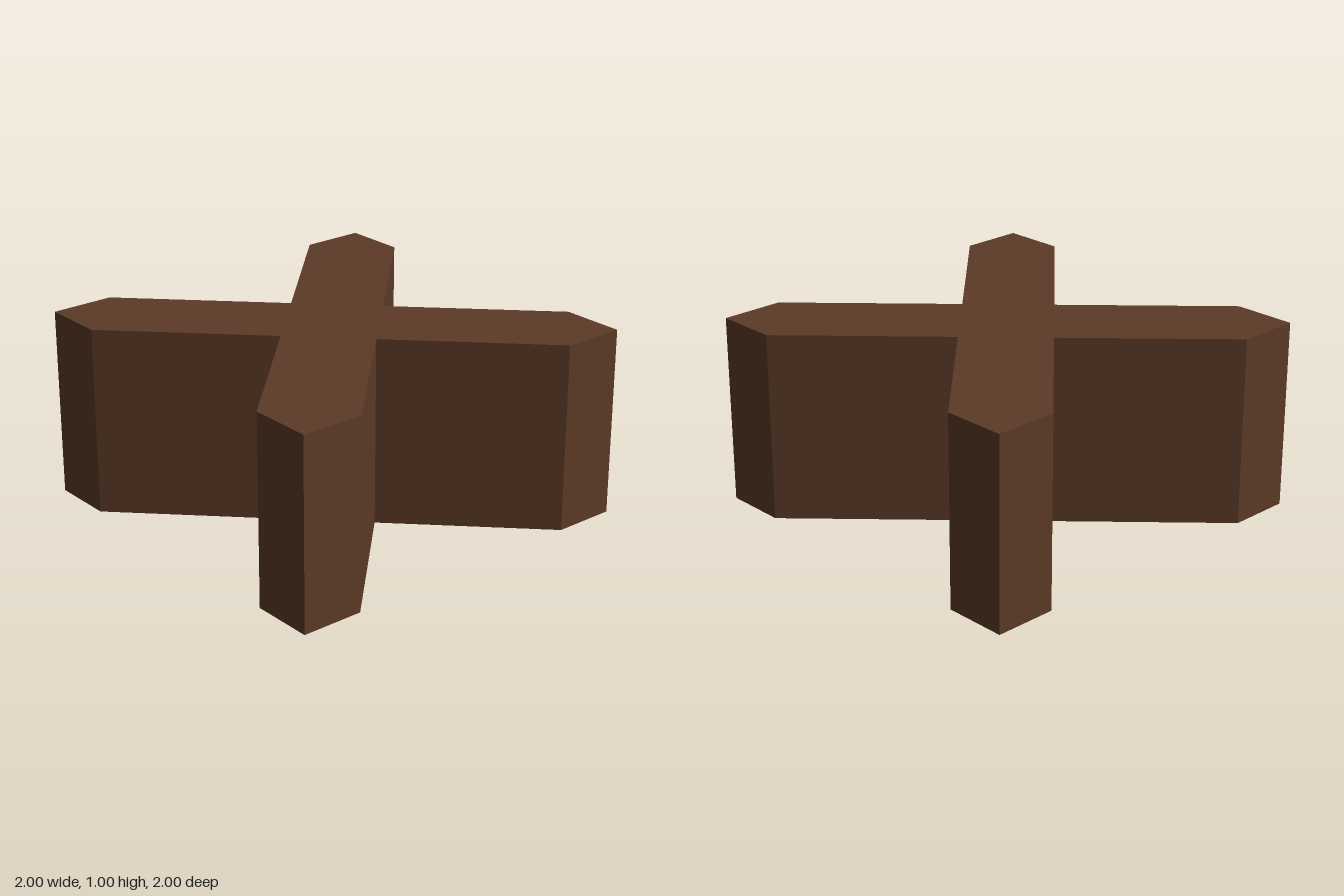
import * as THREE from 'three';

export function createModel() {
  const model = new THREE.Group();
  const darkWood = new THREE.MeshStandardMaterial({ color: 0x5c3a26 });
  darkWood.name = 'darkWood';

  // Diagonal cross outline: each quarter turn adds one arm with a square corner tip
  const t = 0.333, e = 0.667;
  const quarter = [[t, 0], [1, e], [1, 1], [e, 1]];
  const points = [];
  for (let i = 0; i < 4; i++) {
    const c = Math.round(Math.cos(i * Math.PI / 2));
    const s = Math.round(Math.sin(i * Math.PI / 2));
    for (const [x, y] of quarter) points.push(new THREE.Vector2(x * c - y * s, x * s + y * c));
  }

  // Extruded upwards so that it stands on the ground
  const geometry = new THREE.ExtrudeGeometry(new THREE.Shape(points), { depth: 1, bevelEnabled: false });
  geometry.rotateX(-Math.PI / 2);

  const crossBeams = new THREE.Mesh(geometry, darkWood);
  crossBeams.name = 'crossBeams';
  model.add(crossBeams);
  return model;
}
